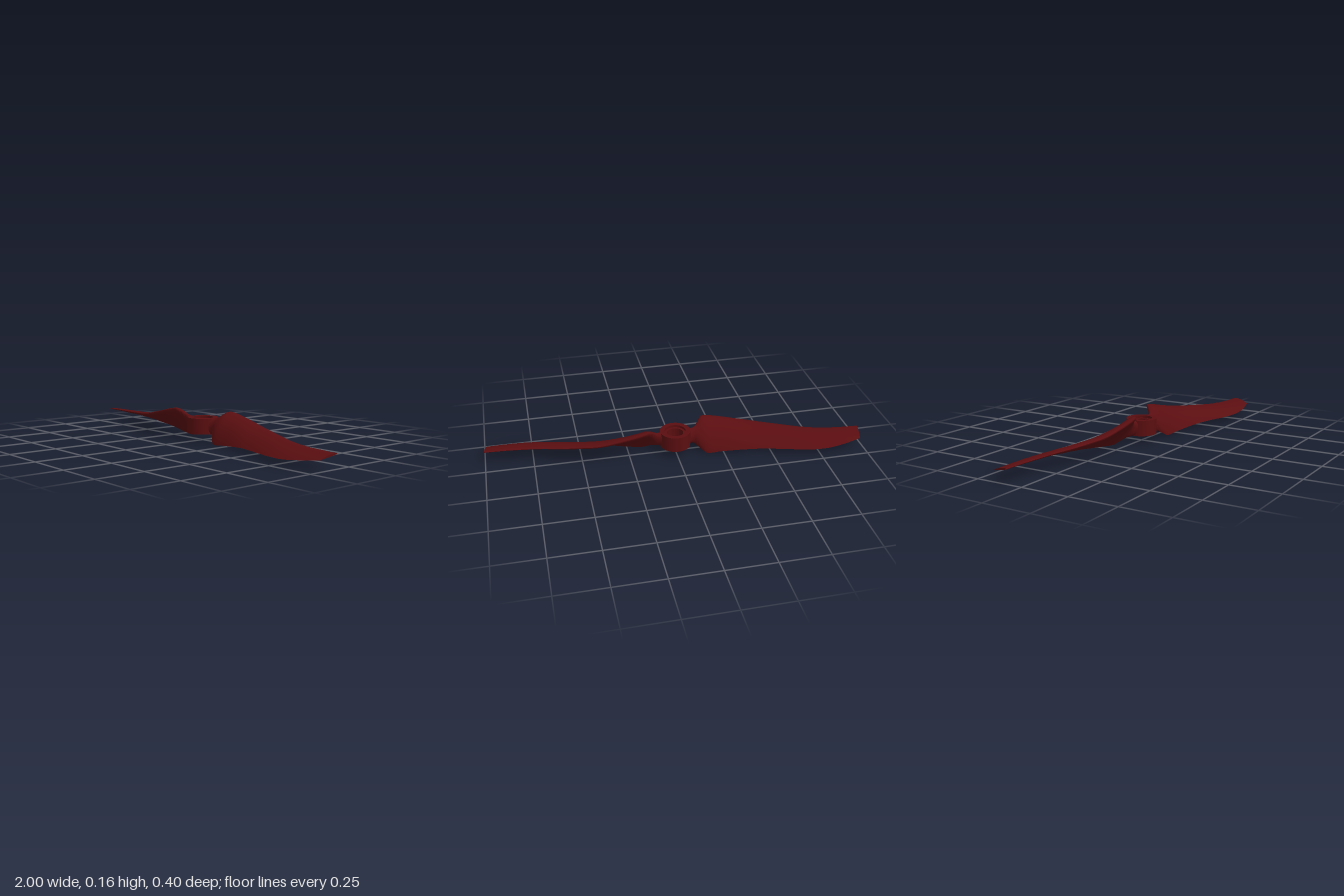
import * as THREE from 'three';
import { toCreasedNormals } from 'three/addons/utils/BufferGeometryUtils.js';

// Blade stations: x, high edge z, y, low edge z, y, half thickness, camber, edge fullness (1 = oval, 0 = airfoil)
const STATIONS = [
  [0.060, -0.008, 0.125, 0.008, 0.043, 0.036, 0, 1],
  [0.080, -0.008, 0.125, 0.008, 0.043, 0.024, 0, 1],
  [0.100, -0.010, 0.127, 0.012, 0.042, 0.018, 0.001, 1],
  [0.120, -0.025, 0.138, 0.035, 0.032, 0.018, 0.005, 0.8],
  [0.145, -0.052, 0.159, 0.058, 0.013, 0.019, 0.012, 0.4],
  [0.170, -0.064, 0.162, 0.069, 0.003, 0.020, 0.016, 0.1],
  [0.250, -0.068, 0.145, 0.078, 0.010, 0.018, 0.014, 0],
  [0.400, -0.053, 0.111, 0.110, 0.023, 0.015, 0.011, 0],
  [0.500, -0.026, 0.098, 0.134, 0.026, 0.013, 0.010, 0],
  [0.600, 0.006, 0.088, 0.162, 0.027, 0.012, 0.009, 0],
  [0.700, 0.040, 0.081, 0.189, 0.028, 0.010, 0.008, 0],
  [0.800, 0.062, 0.076, 0.200, 0.031, 0.009, 0.007, 0],
  [0.900, 0.074, 0.074, 0.192, 0.040, 0.007, 0.005, 0],
  [1.000, 0.080, 0.073, 0.172, 0.051, 0.005, 0.003, 0],
];

// Smooth interpolation of a whole station row
function stationAt(u) {
  const last = STATIONS.length - 1;
  const i = Math.min(Math.floor(u), last - 1);
  const f = u - i;
  const row = (k) => STATIONS[Math.max(0, Math.min(last, k))];
  return row(i).map((b, c) => {
    const a = row(i - 1)[c], d = row(i + 1)[c], e = row(i + 2)[c];
    return b + 0.5 * f * (d - a + f * (2 * a - 5 * b + 4 * d - e + f * (3 * (b - d) + e - a)));
  });
}

// One airfoil loop: upper face from low edge to high edge, then back along the lower face
function section([x, zHi, yHi, zLo, yLo, thick, camber, full], n) {
  const dz = zLo - zHi, dy = yLo - yHi, len = Math.hypot(dz, dy);
  const points = [];
  for (let k = 0; k < 2 * n; k++) {
    const s = 0.5 + 0.5 * Math.cos((k / n) * Math.PI);
    const oval = 2 * Math.sqrt(Math.max(0, s * (1 - s)));
    const foil = 2.6 * Math.sqrt(s) * (1 - s);
    const half = thick * THREE.MathUtils.lerp(foil, oval, full);
    const h = 4 * camber * s * (1 - s) + (k <= n ? half : -half);
    points.push(x * (1 - 0.015 * s * x), yHi + dy * s + (h * dz) / len, zHi + dz * s - (h * dy) / len);
  }
  return points;
}

function bladeGeometry() {
  const n = 14, m = 2 * n, rings = (STATIONS.length - 1) * 4;
  const pos = [], index = [];
  for (let r = 0; r <= rings; r++) pos.push(...section(stationAt(r / 4), n));
  for (let r = 0; r < rings; r++) {
    for (let k = 0; k < m; k++) {
      const a = r * m + k, a2 = r * m + ((k + 1) % m);
      index.push(a, a + m, a2, a2, a + m, a2 + m);
    }
  }
  // Tip cap
  const t = rings * m;
  for (let k = 0; k < n; k++) {
    const low = t + ((m - k) % m);
    if (k > 0) index.push(t + k + 1, t + k, low);
    if (k < n - 1) index.push(t + k + 1, low, t + m - k - 1);
  }
  const geo = new THREE.BufferGeometry();
  geo.setAttribute('position', new THREE.Float32BufferAttribute(pos, 3));
  geo.setIndex(index);
  return toCreasedNormals(geo, 0.7);
}

// Hub ring with a through bore and a shallow recess on both faces
function hubGeometry() {
  const profile = [
    [0.043, 0.055], [0.056, 0.055], [0.056, 0.042], [0.081, 0.042],
    [0.081, 0.125], [0.056, 0.125], [0.056, 0.112], [0.043, 0.112], [0.043, 0.055],
  ].map(([r, y]) => new THREE.Vector2(r, y));
  return toCreasedNormals(new THREE.LatheGeometry(profile, 64), 0.6);
}

export function createModel() {
  const group = new THREE.Group();
  group.name = 'propeller';
  const red = new THREE.MeshStandardMaterial({ color: 0x5a0e10 });
  red.name = 'darkRed';

  const hub = new THREE.Mesh(hubGeometry(), red);
  hub.name = 'hub';
  group.add(hub);

  // Two blades, half a turn apart
  const geo = bladeGeometry();
  ['leftBlade', 'rightBlade'].forEach((name, i) => {
    const blade = new THREE.Mesh(geo, red);
    blade.name = name;
    blade.rotation.y = i * Math.PI;
    group.add(blade);
  });
  return group;
}
